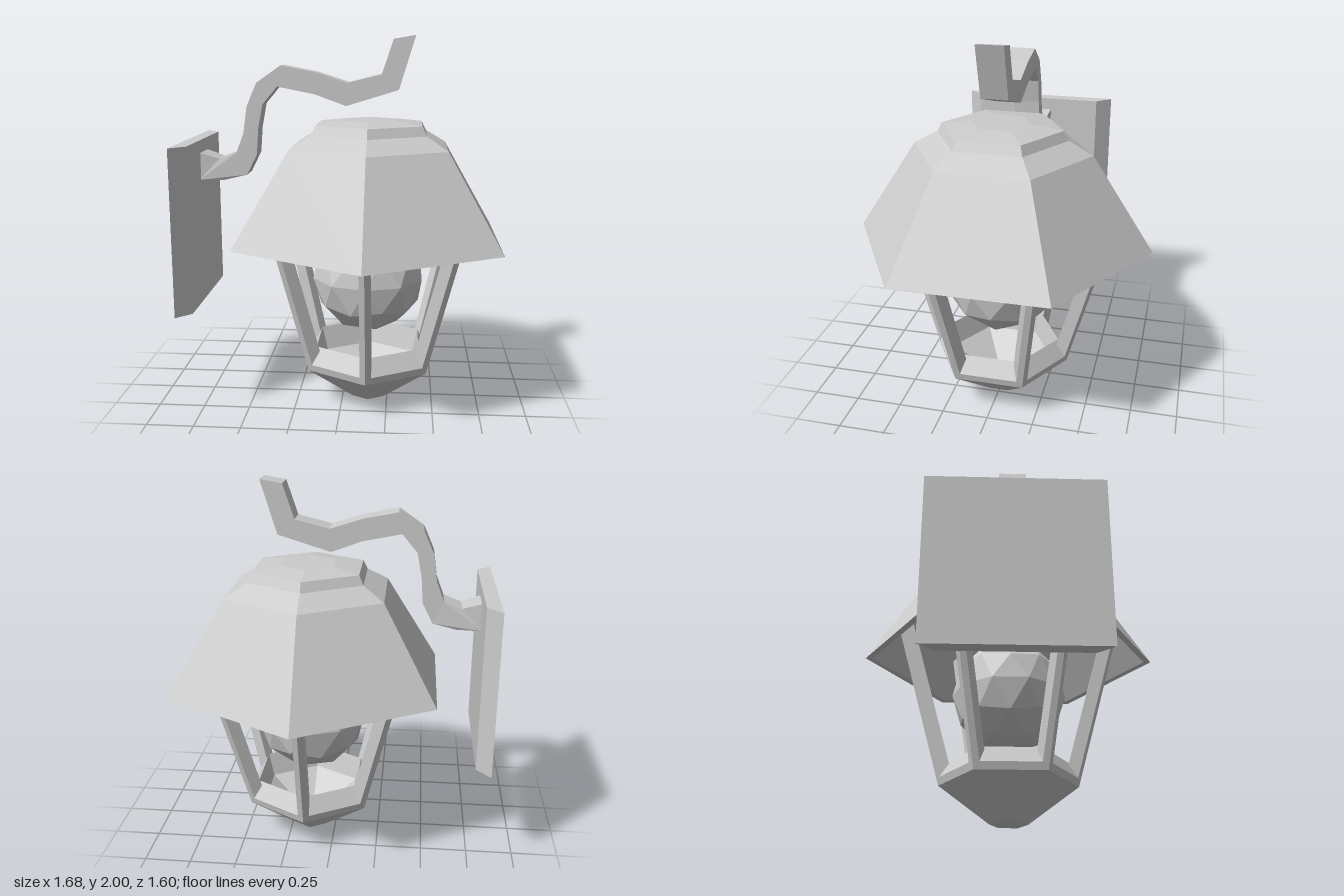
import * as THREE from 'three';
import { ConvexGeometry } from 'three/addons/geometries/ConvexGeometry.js';

const material = new THREE.MeshStandardMaterial({ color: 0xcccccc, flatShading: true });

function addPart(parent, name, geometry) {
  const mesh = new THREE.Mesh(geometry, material);
  mesh.name = name;
  parent.add(mesh);
  return mesh;
}

const toPoints = (list) => list.map(([a, b]) => new THREE.Vector2(a, b));

// Six-sided ring turned from a profile of [radius, height]
const hexLathe = (profile) => new THREE.LatheGeometry(toPoints(profile), 6);

// Radius of the lantern wall at a given height
const wallRadius = (y) => 0.37 + 0.278 * (y - 0.2);

// Leaning corner post, convex, with its ridge on the hexagon corner
function postGeometry(bottom, top) {
  const points = [];
  for (const y of [bottom, top]) {
    const r = wallRadius(y);
    points.push(new THREE.Vector3(0, y, r));
    for (const side of [-0.03, 0.03]) {
      points.push(new THREE.Vector3(side, y, r - 0.0175));
      points.push(new THREE.Vector3(side, y, r - 0.086));
    }
  }
  return new ConvexGeometry(points);
}

export function createModel() {
  const model = new THREE.Group();
  model.name = 'wallLantern';

  const lantern = new THREE.Group();
  lantern.name = 'lantern';
  lantern.position.x = 0.143;
  model.add(lantern);

  // Hollow roof: inside from the ceiling to the rim, then outside to the top
  addPart(lantern, 'roof', hexLathe([
    [0, 1.5], [0.3, 1.5], [0.44, 1.4], [0.76, 0.92],
    [0.8, 0.92], [0.473, 1.42], [0.347, 1.49], [0.32, 1.54], [0.16, 1.56], [0, 1.56],
  ]));

  // Bowl with a sill rising inwards
  addPart(lantern, 'base', hexLathe([
    [0, 0], [0.1, 0], [0.37, 0.2], [wallRadius(0.24), 0.24],
    [0.32, 0.33], [0.284, 0.2], [0.08, 0.06], [0, 0.06],
  ]));

  // Corner posts
  const post = postGeometry(0.2, 1.13);
  for (let i = 0; i < 6; i++) {
    addPart(lantern, 'cornerPost', post).rotation.y = (i * Math.PI) / 3;
  }

  // Faceted bulb, turned to stand on a corner
  const bulb = addPart(lantern, 'bulb', new THREE.IcosahedronGeometry(0.31, 1));
  bulb.rotation.z = 0.5536;
  bulb.position.set(-0.005, 0.7, 0);

  // Wall plate with bevelled sides
  const plateShape = new THREE.Shape(toPoints([
    [-0.84, -0.44], [-0.765, -0.36], [-0.765, 0.36], [-0.84, 0.44],
  ]));
  const plate = new THREE.ExtrudeGeometry(plateShape, { depth: 0.88, bevelEnabled: false });
  plate.rotateX(-Math.PI / 2);
  plate.translate(0, 0.57, 0);
  addPart(model, 'wallPlate', plate);

  // Curved arm: lower edge, then upper edge back to the plate
  const lower = [
    [-0.775, 1.235], [-0.64, 1.235], [-0.515, 1.265], [-0.46, 1.375], [-0.45, 1.51],
    [-0.425, 1.64], [-0.345, 1.735], [-0.145, 1.695], [0.02, 1.635], [0.295, 1.72], [0.38, 2.0],
  ];
  const upper = [
    [-0.775, 1.385], [-0.665, 1.35], [-0.57, 1.385], [-0.53, 1.49], [-0.51, 1.63],
    [-0.455, 1.755], [-0.325, 1.845], [-0.145, 1.81], [0.025, 1.755], [0.205, 1.8], [0.265, 1.98],
  ];
  const armShape = new THREE.Shape(toPoints([...lower, ...upper.reverse()]));
  const arm = new THREE.ExtrudeGeometry(armShape, { depth: 0.14, bevelEnabled: false });
  arm.translate(0, 0, -0.07);
  // Widen the end at the plate
  const position = arm.attributes.position;
  for (let i = 0; i < position.count; i++) {
    if (position.getX(i) < -0.7) position.setZ(i, position.getZ(i) * 1.2);
  }
  arm.computeVertexNormals();
  addPart(model, 'arm', arm);

  return model;
}
